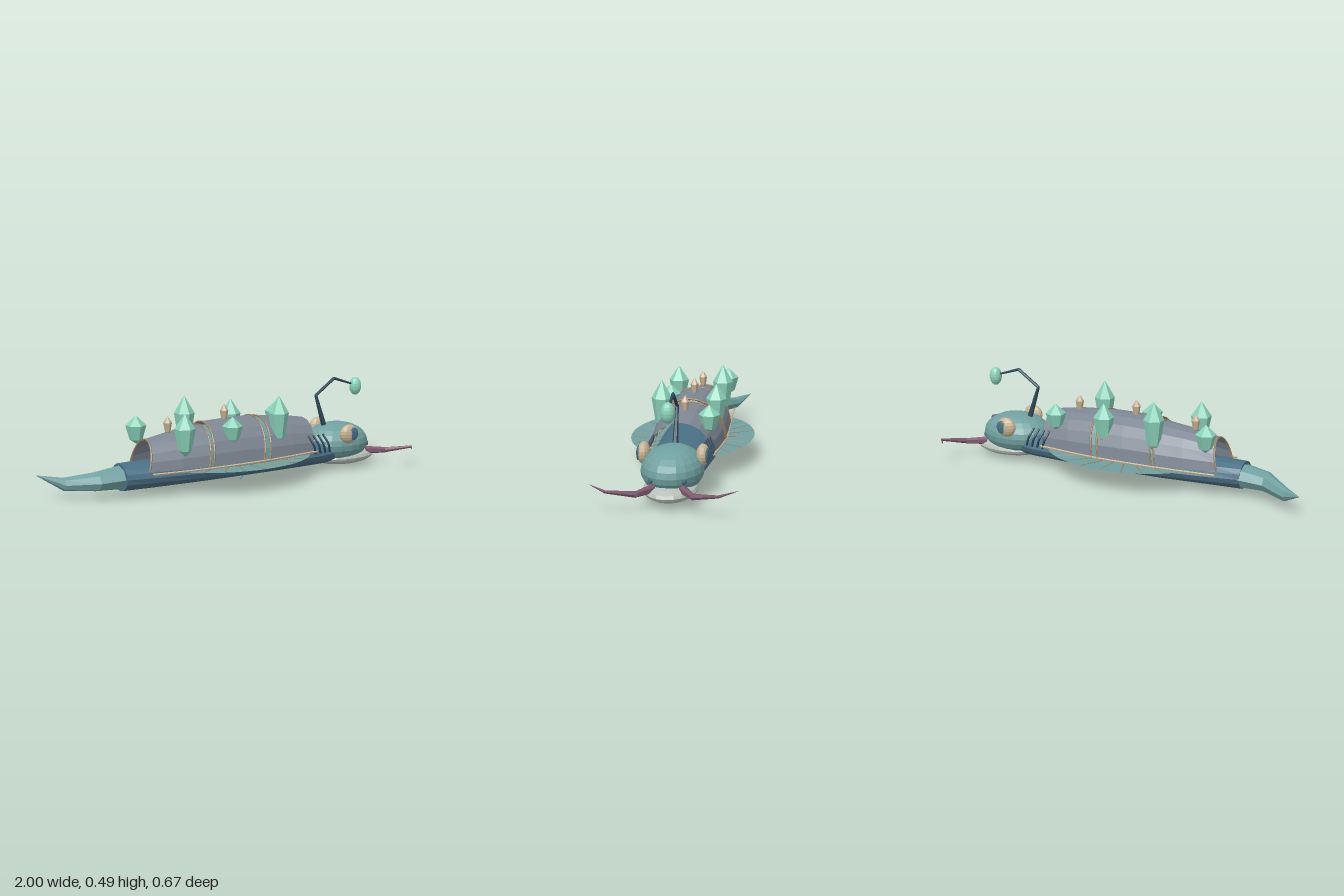
import * as THREE from 'three';

const mat = (name, color, side = THREE.FrontSide) =>
  new THREE.MeshStandardMaterial({ name, color, side, flatShading: true });

export function createModel() {
  const group = new THREE.Group();
  const M = {
    skin: mat('teal skin', 0x70a0a0),
    fin: mat('teal fin', 0x70a0a0, THREE.DoubleSide),
    body: mat('slate blue', 0x4a7084),
    shell: mat('shell grey', 0x7d8793, THREE.DoubleSide),
    crystal: mat('mint crystal', 0x8ad2ba),
    bone: mat('bone', 0xc8b393),
    rib: mat('brown rib', 0x9a8064),
    jaw: mat('pale jaw', 0xb6c0b8),
    whisker: mat('mauve whisker', 0x80596f),
    dark: mat('dark blue', 0x2f4a5a),
  };
  const V = (x, y, z) => new THREE.Vector3(x, y, z);
  const add = (name, geo, material) => {
    const m = new THREE.Mesh(geo, material);
    m.name = name;
    group.add(m);
    return m;
  };
  const ball = (name, p, r, material, w = 16, h = 12) => {
    const m = add(name, new THREE.SphereGeometry(1, w, h), material);
    m.position.set(...p);
    m.scale.set(...r);
    return m;
  };
  // tapered round bar between two points
  const bar = (name, a, b, r0, r1, material, sides = 6) => {
    const m = add(name, new THREE.CylinderGeometry(r1, r0, a.distanceTo(b), sides), material);
    m.position.copy(a).lerp(b, 0.5);
    m.quaternion.setFromUnitVectors(V(0, 1, 0), b.clone().sub(a).normalize());
  };
  const chain = (name, pts, radii, material) => {
    for (let i = 0; i + 1 < pts.length; i++)
      bar(name, pts[i], pts[i + 1], radii[i], radii[i + 1], material);
  };
  const tube = (name, pts, r, material) =>
    add(name, new THREE.TubeGeometry(new THREE.CatmullRomCurve3(pts), 14, r, 5), material);
  // skin over elliptical sections [x, y, z, ry, rz] running along +x
  const loft = (name, sections, n, sweep, lean, material) => {
    const pos = [], idx = [], w = n + 1;
    sections.forEach(([x, y, z, ry, rz], i) => {
      for (let j = 0; j <= n; j++) {
        const a = (sweep * j) / n;
        pos.push(x + lean * Math.sin(a), y + ry * Math.sin(a), z + rz * Math.cos(a));
        if (i && j) {
          const p = (i - 1) * w + j - 1, q = p + w;
          idx.push(p, q, p + 1, q, q + 1, p + 1);
        }
      }
    });
    const g = new THREE.BufferGeometry();
    g.setAttribute('position', new THREE.Float32BufferAttribute(pos, 3));
    g.setIndex(idx);
    g.computeVertexNormals();
    return add(name, g, material);
  };
  const TAU = Math.PI * 2;

  // body and tail
  const girth = [[-0.65, 0], [-0.65, 0.085], [-0.5, 0.115], [-0.25, 0.148], [0, 0.16],
    [0.25, 0.155], [0.5, 0.132], [0.6, 0.11], [0.6, 0]];
  loft('body', girth.map(([x, r]) => [x, 0.098, 0, r ? 0.068 : 0, r]), 16, TAU, 0, M.body);
  loft('tail', [[-1, 0.11, -0.205, 0.001, 0.001], [-0.9, 0.073, -0.108, 0.033, 0.04],
    [-0.77, 0.088, -0.018, 0.048, 0.066], [-0.62, 0.098, -0.005, 0.062, 0.083]], 8, TAU, 0, M.skin);

  // arched back plates with rims at their edges
  const LEAN = 0.035, BASE = 0.13;
  const plates = [
    [[-0.54, 0.14, 0.105], [-0.38, 0.168, 0.143], [-0.235, 0.185, 0.165]],
    [[-0.215, 0.198, 0.168], [-0.06, 0.203, 0.176], [0.08, 0.203, 0.179]],
    [[0.115, 0.198, 0.179], [0.26, 0.187, 0.171], [0.405, 0.163, 0.152]],
  ];
  const rim = ([x, ry, rz], r = 0.005) => {
    const pts = [];
    for (let j = 0; j <= 10; j++) {
      const a = (Math.PI * j) / 10;
      pts.push(V(x + LEAN * Math.sin(a), BASE + ry * Math.sin(a), rz * Math.cos(a)));
    }
    tube('plateRim', pts, r, M.rib);
  };
  for (const p of plates)
    loft('backPlate', p.map(([x, ry, rz]) => [x, BASE, 0, ry, rz]), 10, Math.PI, LEAN, M.shell);
  [plates[0][0], plates[0][2], plates[1][0], plates[1][2], plates[2][0]].forEach((s) => rim(s));
  for (const [x, ry, rz] of [[-0.225, 0.18, 0.16], [0.097, 0.193, 0.173]])
    loft('seamMembrane', [[x - 0.03, BASE, 0, ry, rz], [x + 0.03, BASE, 0, ry, rz]],
      10, Math.PI, LEAN, M.fin);

  // crystals: six-sided points
  const gem = (name, x, z, y0, y1, r, material) => {
    const h = y1 - y0;
    const prof = [[0, 0], [0.62 * r, 0.16 * h], [r, 0.65 * h], [0, h]];
    const g = new THREE.LatheGeometry(prof.map((p) => new THREE.Vector2(...p)), 6);
    add(name, g, material).position.set(x, y0, z);
  };
  [[-0.49, 0.225, 0.37], [-0.21, 0.185, 0.447], [0.07, 0.19, 0.405], [0.35, 0.225, 0.365]]
    .forEach(([x, a, b]) => gem('rightCrystal', x, -0.128, a, b, 0.053, M.crystal));
  [[-0.355, 0.185, 0.405], [-0.08, 0.225, 0.362], [0.2, 0.185, 0.447]]
    .forEach(([x, a, b]) => gem('leftCrystal', x, 0.128, a, b, 0.053, M.crystal));
  [[-0.38, 0.28, 0.375], [-0.05, 0.31, 0.408], [0.28, 0.295, 0.392]]
    .forEach(([x, a, b]) => gem('ridgeSpike', x, 0, a, b, 0.022, M.bone));
  gem('bellySpike', 0.05, 0, 0, 0.06, 0.018, M.crystal);

  // head and jaw
  ball('head', [0.665, 0.135, 0], [0.192, 0.11, 0.148], M.skin, 20, 12);
  ball('jaw', [0.71, 0.058, 0], [0.195, 0.047, 0.128], M.jaw, 20, 10);

  // lure
  chain('lureStalk', [V(0.585, 0.235, 0), V(0.53, 0.4, 0), V(0.65, 0.483, 0), V(0.8, 0.435, 0)],
    [0.014, 0.008, 0.008, 0.005], M.dark);
  ball('lureJoint', [0.53, 0.4, 0], [0.008, 0.008, 0.008], M.dark, 6, 4);
  ball('lureJoint', [0.65, 0.483, 0], [0.008, 0.008, 0.008], M.dark, 6, 4);
  ball('lureBulb', [0.797, 0.43, 0], [0.033, 0.049, 0.033], M.crystal, 14, 10);

  for (const s of [1, -1]) {
    // eyes, nostrils and whiskers
    ball('eye', [0.65, 0.2, s * 0.138], [0.055, 0.052, 0.031], M.bone, 14, 10);
    ball('pupil', [0.665, 0.202, s * 0.16], [0.032, 0.035, 0.01], M.body, 10, 8);
    ball('nostril', [0.815, 0.122, s * 0.072], [0.02, 0.018, 0.017], M.body, 8, 6);
    chain('whisker', [V(0.82, 0.082, s * 0.07), V(0.915, 0.082, s * 0.128),
      V(0.99, 0.112, s * 0.248), V(0.927, 0.122, s * 0.332)], [0.022, 0.015, 0.007, 0.001], M.whisker);

    // gill bars
    for (let i = 0; i < 4; i++) {
      const x = 0.42 + i * 0.034, z = 0.148 - i * 0.004;
      tube('gill', [V(x - 0.035, 0.215, s * (z - 0.012)), V(x - 0.015, 0.165, s * (z + 0.012)),
        V(x + 0.005, 0.118, s * z)], 0.006, M.dark);
    }

    // rail below the plates
    tube('sideRail', [V(-0.55, 0.127, s * 0.155), V(-0.3, 0.122, s * 0.162),
      V(0.1, 0.127, s * 0.18), V(0.43, 0.132, s * 0.155)], 0.006, M.bone);

    // side fin with fanned ribs
    const rimPt = (a, k = 1) => V(0.44 * k * Math.cos(a), 0.102 + 0.018 * k, s * 0.315 * k * Math.sin(a));
    const pos = [], idx = [], N = 24;
    for (let i = 0; i <= N; i++) {
      const a = (Math.PI * i) / N;
      pos.push(...rimPt(a, 0.35).toArray(), ...rimPt(a).toArray());
      if (i) idx.push(2 * i - 2, 2 * i - 1, 2 * i, 2 * i - 1, 2 * i + 1, 2 * i);
    }
    const fin = new THREE.BufferGeometry();
    fin.setAttribute('position', new THREE.Float32BufferAttribute(pos, 3));
    fin.setIndex(idx);
    fin.computeVertexNormals();
    add('sideFin', fin, M.fin);
    for (let i = 1; i < 12; i++)
      bar('finRib', rimPt((Math.PI * i) / 12, 0.45), rimPt((Math.PI * i) / 12, 0.99), 0.004, 0.002, M.rib, 5);
  }
  return group;
}
